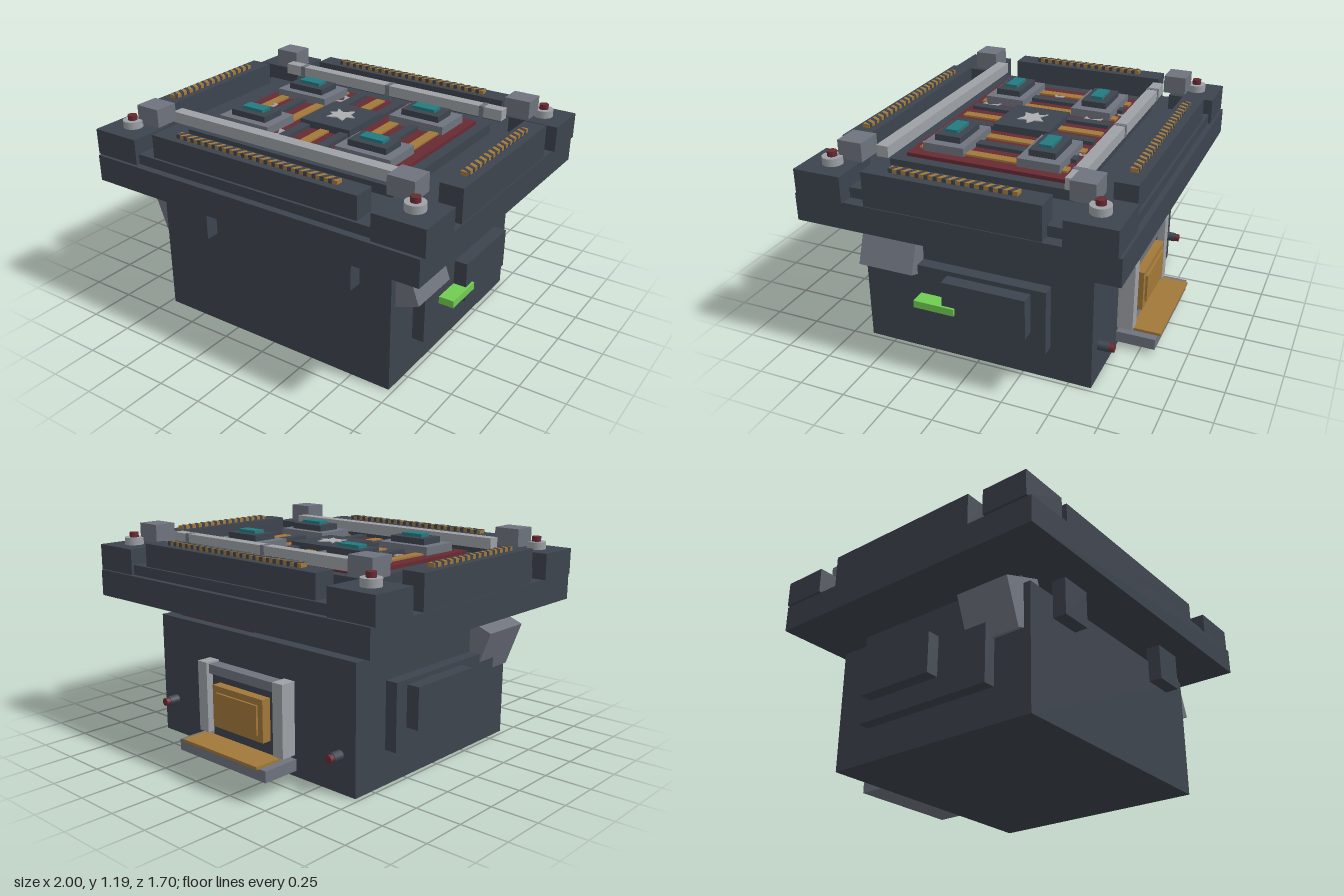
import * as THREE from 'three';

const mat = (name, color) => {
  const m = new THREE.MeshStandardMaterial({ color });
  m.name = name;
  return m;
};

export function createModel() {
  const dark = mat('dark slate', 0x3d444e);
  const grey = mat('mid grey', 0x6e737d);
  const light = mat('light grey', 0x9da1a6);
  const red = mat('dark red', 0x682a32);
  const gold = mat('gold', 0xa2783a);
  const teal = mat('teal', 0x237a80);
  const green = mat('green', 0x70cc52);
  const pale = mat('pale chip', 0xabadb0);

  const model = new THREE.Group();
  const add = (name, geo, m, parent = model) => {
    const mesh = new THREE.Mesh(geo, m);
    mesh.name = name;
    parent.add(mesh);
    return mesh;
  };
  // Box given by its lower and upper limits on each axis
  const box = (name, m, x0, x1, y0, y1, z0, z1, parent = model) => {
    const b = add(name, new THREE.BoxGeometry(x1 - x0, y1 - y0, z1 - z0), m, parent);
    b.position.set((x0 + x1) / 2, (y0 + y1) / 2, (z0 + z1) / 2);
    return b;
  };
  // Flat plate lying in the ground plane; points are [x, z]
  const plate = (name, m, points, y, h, parent = model) => {
    const shape = new THREE.Shape(points.map(([x, z]) => new THREE.Vector2(x, -z)));
    const geo = new THREE.ExtrudeGeometry(shape, { depth: h, bevelEnabled: false });
    geo.rotateX(-Math.PI / 2);
    const p = add(name, geo, m, parent);
    p.position.y = y;
    return p;
  };

  // Main body and platform
  box('body', dark, -0.725, 0.725, 0, 0.68, -0.62, 0.645);
  box('platform', dark, -0.985, 0.985, 0.785, 0.93, -0.83, 0.85);
  box('redCollar', red, 0.03, 0.625, 0.68, 0.76, -0.565, 0.56);
  box('darkCollar', dark, -0.69, 0.02, 0.68, 0.76, -0.5, 0.56);
  box('neck', dark, -0.56, 0.04, 0.76, 0.785, -0.17, 0.45);
  box('sideNeck', dark, 0.3, 0.55, 0.76, 0.785, -0.4, 0.1);
  plate('collarChip', pale, [[-0.03, -0.12], [0.0, -0.16], [0.03, -0.11], [0.0, -0.1]], 0, 0.004)
    .rotation.z = -Math.PI / 2;
  model.children.at(-1).position.set(0.623, 0.72, -0.02);

  // Stepped top
  box('sideStep', dark, -0.92, 0.92, 0.93, 0.985, -0.555, 0.58);
  for (const [z0, z1] of [[-0.8, -0.555], [0.58, 0.81]])
    box('endStep', dark, -0.73, 0.73, 0.93, 0.985, z0, z1);
  box('deck', dark, -0.65, 0.65, 0.985, 1.04, -0.48, 0.505);

  // Hazard strip: gold bar with slanted dark bands
  const hazard = (len, x, z, turn) => {
    const g = new THREE.Group();
    g.name = 'hazardStrip';
    const w = 0.02;
    box('goldBar', gold, -len / 2, len / 2, 0, 0.02, -w, w, g);
    const n = Math.round(len / 0.046);
    const step = len / n;
    const e = w + 0.002;
    for (let i = 0; i < n; i++) {
      const a = -len / 2 + i * step;
      plate('darkBand', dark, [[a, e], [a + 0.02, e], [a + 0.043, -e], [a + 0.023, -e]], 0, 0.022, g);
    }
    g.position.set(x, 1.11, z);
    g.rotation.y = turn;
    model.add(g);
  };

  // Rails around the rim
  box('frontRail', dark, -0.625, 0.625, 0.93, 1.11, 0.675, 0.795);
  box('backRail', dark, -0.625, 0.625, 0.93, 1.11, -0.785, -0.665);
  hazard(0.98, 0, 0.735, 0);
  hazard(0.98, 0, -0.72, 0);
  for (const s of [-1, 1]) {
    box('sideRail', dark, s * 0.9175 - 0.0625, s * 0.9175 + 0.0625, 0.93, 1.11, -0.455, 0.465);
    hazard(0.66, s * 0.915, 0.01, Math.PI / 2);
  }

  // Corner blocks, lamps and bar mounts
  for (const s of [-1, 1]) {
    for (const [z0, z1, lampZ, m0, m1] of [
      [0.575, 0.832, 0.695, 0.54, 0.672],
      [-0.815, -0.558, -0.685, -0.655, -0.53],
    ]) {
      box('cornerBlock', dark, s * 0.86 - 0.14, s * 0.86 + 0.14, 0.93, 1.07, z0, z1);
      box('barMount', grey, s * 0.773 - 0.072, s * 0.773 + 0.072, 1.09, 1.188, m0, m1);
      add('lampBase', new THREE.CylinderGeometry(0.052, 0.052, 0.04, 20), light)
        .position.set(s * 0.865, 1.09, lampZ);
      add('lamp', new THREE.CylinderGeometry(0.025, 0.025, 0.03, 16), red)
        .position.set(s * 0.865, 1.122, lampZ);
    }
  }
  box('backBar', light, -0.72, 0.72, 1.075, 1.135, -0.522, -0.46);
  box('frontBar', light, -0.72, 0.72, 1.075, 1.135, 0.47, 0.535);
  for (const x of [-0.6, 0, 0.6])
    box('barBand', grey, x - 0.014, x + 0.014, 1.073, 1.137, -0.524, -0.458);

  // Red deck panel with gold and dark slats
  box('redPanel', red, -0.59, 0.59, 1.04, 1.06, -0.425, 0.44);
  for (let i = -4; i <= 4; i++) {
    const x = i * 0.1225;
    const even = i % 2 === 0;
    box(even ? 'goldSlat' : 'darkSlat', even ? gold : dark, x - 0.027, x + 0.027,
      1.06, even ? 1.07 : 1.08, -0.395, 0.405);
  }

  // Four stacked modules with teal screens
  for (const s of [-1, 1]) {
    for (const z of [-0.252, 0.262]) {
      const tier = (name, m, hx, hz, y0, y1) =>
        box(name, m, s * 0.375 - hx, s * 0.375 + hx, y0, y1, z - hz, z + hz);
      tier('moduleFrame', grey, 0.163, 0.113, 1.06, 1.105);
      tier('moduleBody', dark, 0.112, 0.071, 1.105, 1.138);
      tier('moduleScreen', teal, 0.067, 0.034, 1.138, 1.155);
    }
  }

  // Centre plate with worn patch, and chipped paint
  box('centrePlate', dark, -0.157, 0.157, 1.06, 1.1, -0.155, 0.16);
  plate('wornPatch', pale, [[-0.065, -0.065], [-0.015, -0.035], [0.035, -0.075], [0.04, -0.025],
    [0.085, 0], [0.04, 0.02], [0.05, 0.07], [0, 0.045], [-0.055, 0.065], [-0.045, 0.02],
    [-0.075, 0], [-0.045, -0.02]], 1.1, 0.005);
  for (const [x, z, s] of [[-0.175, -0.28, 1], [-0.175, 0.33, 1], [-0.45, 0.02, 0.6],
    [0.3, -0.4, 0.5], [0.46, 0.4, 0.4], [-0.3, -0.4, 0.4]]) {
    const chip = plate('paintChip', light, [[-0.03, -0.05], [0.02, -0.04], [0.03, 0.03],
      [0, 0.05], [-0.03, 0.045], [0.005, 0.01]], 1.068, 0.004);
    chip.position.x = x;
    chip.position.z = z;
    chip.scale.set(s, 1, s);
  }

  // Front brackets, tilted shoulder boxes and side panels
  for (const s of [-1, 1]) {
    box('frontBracket', dark, s * 0.452 - 0.092, s * 0.452 + 0.092, 0.555, 0.758, 0.64, 0.72);
    const shoulder = add('shoulderBox', new THREE.BoxGeometry(0.255, 0.255, 0.305), grey);
    shoulder.position.set(s * 0.69, 0.59, 0.453);
    shoulder.rotation.z = 0.358;
    box('sidePanel', dark, s * 0.755 - 0.037, s * 0.755 + 0.037, 0.188, 0.545, -0.4, 0.43);
    box('raisedPanel', dark, s * 0.825 - 0.038, s * 0.825 + 0.038, 0.3, 0.52, -0.32, 0.132);
  }
  box('greenLight', green, 0.79, 0.876, 0.345, 0.385, 0.062, 0.287);

  // Rear hatch with shelf
  box('shelf', grey, -0.33, 0.33, 0.033, 0.095, -0.835, -0.62);
  box('shelfTop', gold, -0.285, 0.285, 0.095, 0.11, -0.852, -0.69);
  for (const s of [-1, 1])
    box('hatchPost', light, s * 0.285 - 0.035, s * 0.285 + 0.035, 0.115, 0.505, -0.706, -0.62);
  box('hatchLintel', grey, -0.25, 0.25, 0.445, 0.495, -0.69, -0.62);
  box('hatchBacking', dark, -0.25, 0.25, 0.095, 0.445, -0.665, -0.62);
  box('hatchDoor', gold, -0.19, 0.19, 0.17, 0.4, -0.718, -0.665);
  box('hatchDoorInset', gold, -0.155, 0.155, 0.205, 0.365, -0.73, -0.718);

  // Rear lamps
  for (const s of [-1, 1]) {
    const base = add('rearLampBase', new THREE.CylinderGeometry(0.026, 0.026, 0.06, 12), dark);
    base.rotation.x = Math.PI / 2;
    base.position.set(s * 0.625, 0.2, -0.65);
    const bulb = add('rearLamp', new THREE.CylinderGeometry(0.022, 0.022, 0.026, 12), red);
    bulb.rotation.x = Math.PI / 2;
    bulb.position.set(s * 0.625, 0.2, -0.692);
  }

  return model;
}
